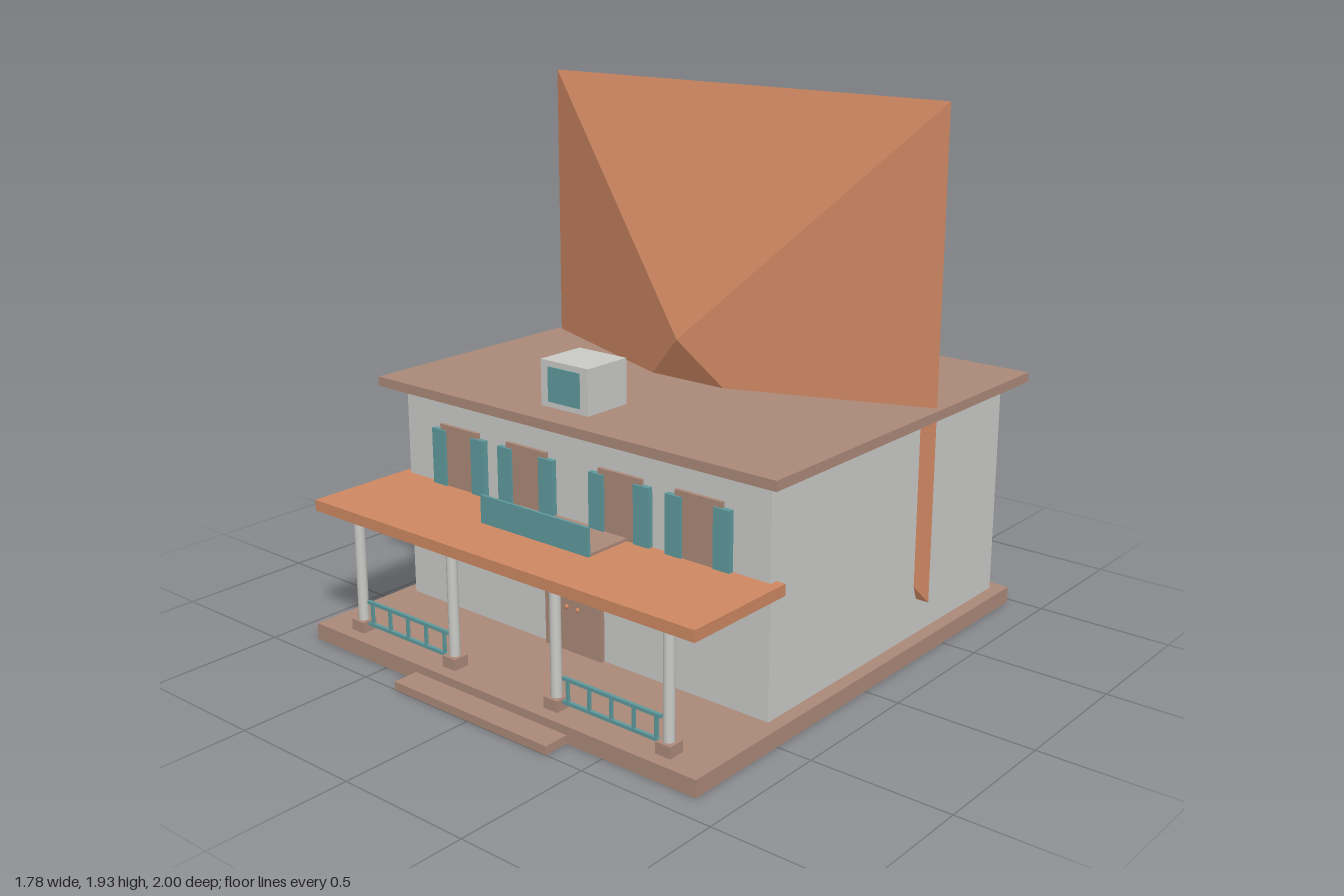
import * as THREE from 'three';

export function createModel() {
  const model = new THREE.Group();
  model.name = 'house';

  const mat = (name, color) => {
    const m = new THREE.MeshStandardMaterial({ color });
    m.name = name;
    return m;
  };
  const brown = mat('brown', 0xab8979);
  const orange = mat('terracotta', 0xce8862);
  const teal = mat('teal', 0x5f9a9d);
  const grey = mat('lightGrey', 0xcacac7);

  const add = (name, geometry, material, x = 0, y = 0, z = 0, parent = model) => {
    const mesh = new THREE.Mesh(geometry, material);
    mesh.name = name;
    mesh.position.set(x, y, z);
    parent.add(mesh);
    return mesh;
  };
  // Box given by its extents on each axis
  const box = (name, material, x0, x1, y0, y1, z0, z1, parent = model) =>
    add(name, new THREE.BoxGeometry(x1 - x0, y1 - y0, z1 - z0), material,
      (x0 + x1) / 2, (y0 + y1) / 2, (z0 + z1) / 2, parent);
  const group = (name, x = 0) => {
    const g = new THREE.Group();
    g.name = name;
    g.position.x = x;
    model.add(g);
    return g;
  };

  // Main volumes
  box('foundation', brown, -0.87, 0.87, 0, 0.06, -0.975, 0.905);
  box('frontStep', brown, -0.35, 0.35, 0, 0.03, 0.895, 1);
  box('walls', grey, -0.82, 0.82, 0.06, 0.865, -0.925, 0.48);
  box('eavesSlab', brown, -0.89, 0.89, 0.865, 0.9, -1, 0.555);

  // Four-sided roof pyramid, lying with its apex towards the front
  let roof = new THREE.ConeGeometry(0.87 * Math.SQRT2, 0.33, 4, 1);
  roof.rotateY(Math.PI / 4);
  roof.rotateX(Math.PI / 2);
  roof = roof.toNonIndexed();
  roof.computeVertexNormals();
  add('roofPyramid', roof, orange, 0, 1.062, -0.225);

  // Dormer
  box('dormer', grey, -0.105, 0.105, 0.935, 1.095, 0.33, 0.52);
  box('dormerWindow', teal, -0.07, 0.07, 0.955, 1.075, 0.519, 0.525);

  // Porch roof and balcony
  box('porchRoof', orange, -0.855, 0.855, 0.49, 0.53, 0.45, 0.895);
  box('balconyFloor', brown, -0.245, 0.245, 0.53, 0.54, 0.48, 0.67);
  box('balconyPanel', teal, -0.245, 0.245, 0.53, 0.63, 0.67, 0.68);

  // Double door with knobs
  for (const s of [-1, 1]) {
    const [a, b] = [0, s * 0.13].sort((p, q) => p - q);
    box('doorLeaf', brown, a, b, 0.06, 0.44, 0.48, 0.496);
    add('doorKnob', new THREE.SphereGeometry(0.008, 10, 8), orange, s * 0.025, 0.225, 0.499);
  }

  // Upper windows with shutters and sills
  for (const x of [-0.543, -0.213, 0.213, 0.543]) {
    const w = group('window', x);
    box('windowPane', brown, -0.095, 0.095, 0.49, 0.757, 0.478, 0.493, w);
    box('windowSill', brown, -0.108, 0.108, 0.482, 0.497, 0.478, 0.507, w);
    for (const s of [-1, 1])
      box('shutter', teal, s * 0.098 - 0.033, s * 0.098 + 0.033, 0.5, 0.737, 0.478, 0.5, w);
  }

  // Porch posts
  const postZ = 0.828;
  for (const x of [-0.704, -0.236, 0.236, 0.704]) {
    const p = group('porchPost', x);
    box('postBase', brown, -0.03, 0.03, 0.06, 0.1, postZ - 0.03, postZ + 0.03, p);
    box('postCap', brown, -0.027, 0.027, 0.472, 0.49, postZ - 0.027, postZ + 0.027, p);
    add('postShaft', new THREE.CylinderGeometry(0.019, 0.019, 0.372, 16), grey, 0, 0.286, postZ, p);
  }

  // Railings between the outer posts
  for (const x of [-0.47, 0.47]) {
    const r = group('railing', x);
    for (const y of [0.09, 0.172])
      box('rail', teal, -0.204, 0.204, y - 0.006, y + 0.006, postZ - 0.006, postZ + 0.006, r);
    for (let i = -2; i <= 2; i++)
      box('baluster', teal, i * 0.092 - 0.005, i * 0.092 + 0.005, 0.09, 0.17, postZ - 0.005, postZ + 0.005, r);
  }

  return model;
}
